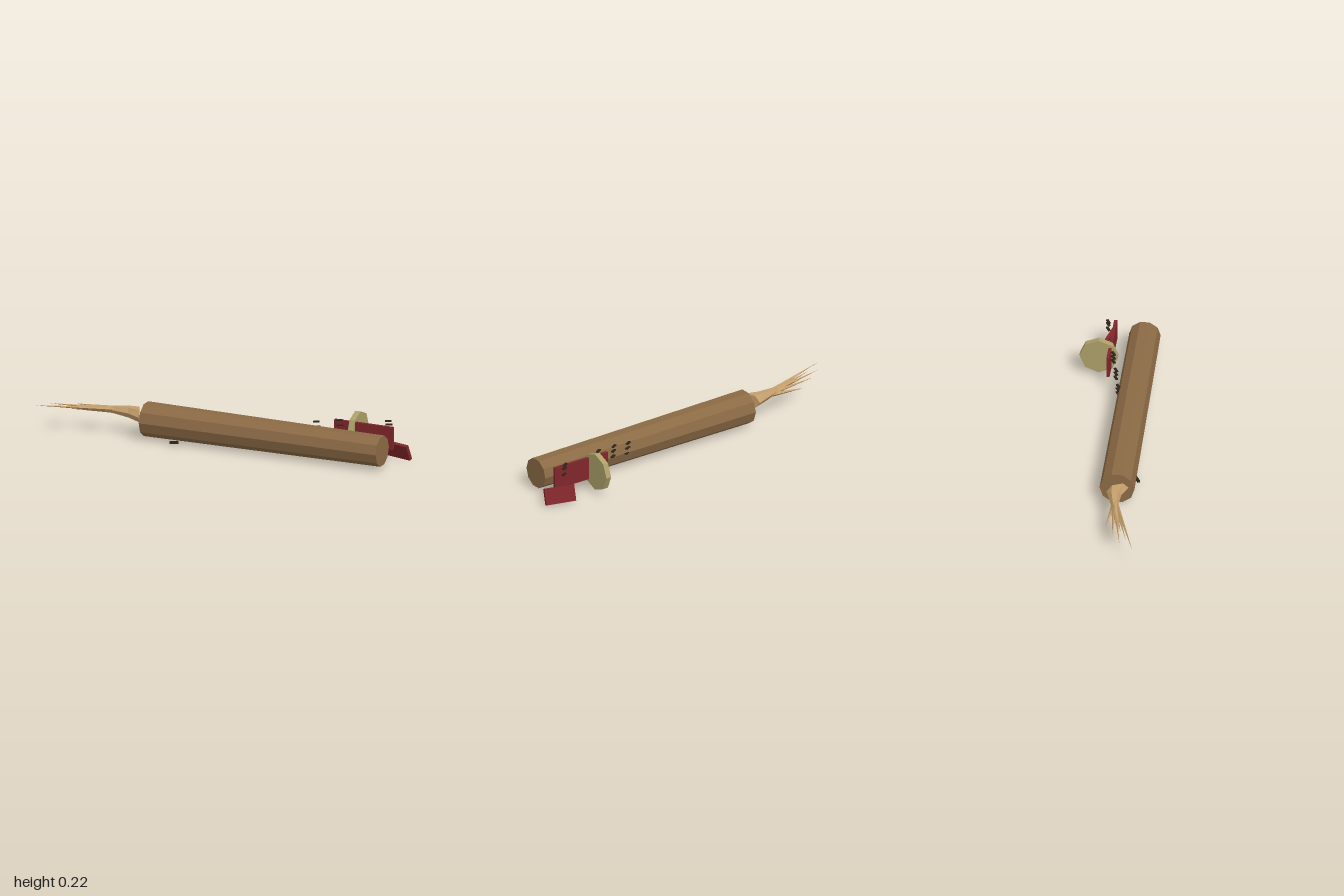
import * as THREE from 'three';

const mat = (color) => new THREE.MeshStandardMaterial({ color, flatShading: true });

// Loft through [x, y, z, ry, rz, shear] sections running towards -x
function loft(sections, sides) {
  const pos = [], idx = [];
  for (const [x, y, z, ry, rz, shear = 0] of sections) {
    for (let i = 0; i < sides; i++) {
      const a = (i / sides) * Math.PI * 2;
      const dz = Math.cos(a) * rz;
      pos.push(x + dz * shear, y + Math.sin(a) * ry, z + dz);
    }
  }
  for (let s = 0; s < sections.length - 1; s++) {
    for (let i = 0; i < sides; i++) {
      const a = s * sides + i, b = s * sides + ((i + 1) % sides);
      idx.push(a, b, a + sides, b, b + sides, a + sides);
    }
  }
  for (let i = 1; i < sides - 1; i++) idx.push(0, i + 1, i);
  const geo = new THREE.BufferGeometry();
  geo.setAttribute('position', new THREE.Float32BufferAttribute(pos, 3));
  geo.setIndex(idx);
  geo.computeVertexNormals();
  return geo;
}

export function createModel() {
  const model = new THREE.Group();
  const wood = mat(0x8b6a45), red = mat(0x7f262b), pale = mat(0xada06a);
  const straw = mat(0xc49e6c), dark = mat(0x2c241a);
  straw.side = THREE.DoubleSide;
  const YAW = -0.211;

  const add = (name, geo, material, p, yaw = 0, tilt = 0, parent = model) => {
    const mesh = new THREE.Mesh(geo, material);
    mesh.name = name;
    mesh.position.set(...p);
    mesh.rotation.set(tilt, yaw, 0, 'YXZ');
    parent.add(mesh);
    return mesh;
  };

  // Tapered ten-sided log and the eight-sided disc beside it
  const logGeo = new THREE.CylinderGeometry(0.081, 0.09, 1.335, 10).rotateZ(-Math.PI / 2);
  add('log', logGeo, wood, [0.228, 0.093, 0.008], YAW);
  const discGeo = new THREE.CylinderGeometry(0.1, 0.1, 0.03, 8).rotateZ(-Math.PI / 2);
  add('disc', discGeo, pale, [0.695, 0.118, -0.108], YAW);

  // Upright plank along the log and a leaning board at its end
  add('plank', new THREE.BoxGeometry(0.333, 0.12, 0.016), red, [0.743, 0.118, -0.037], -0.225);
  add('leaningBoard', new THREE.BoxGeometry(0.164, 0.086, 0.018), red,
    [0.914, 0.043, -0.045], -0.477, 0.37);

  // Straw tail: gathered root with a fan of long spikes
  const tail = new THREE.Group();
  tail.name = 'strawTail';
  model.add(tail);
  add('tailRoot', loft([
    [-0.461, 0.113, -0.133, 0.038, 0.058, 0.18],
    [-0.52, 0.118, -0.153, 0.031, 0.034, 0.1],
    [-0.6, 0.122, -0.162, 0.021, 0.02],
    [-0.8, 0.125, -0.16, 0.001, 0.001],
  ], 6), straw, [0, 0, 0], 0, 0, tail);
  const tips = [
    [-1, 0.13, -0.115], [-0.935, 0.128, -0.173], [-0.9, 0.122, -0.138], [-0.86, 0.12, -0.2],
    [-0.82, 0.112, -0.155], [-0.76, 0.105, -0.226], [-0.8, 0.134, -0.18],
  ];
  tips.forEach(([x, y, z], i) => {
    const z0 = -0.162 + (z + 0.165) * 0.2, y0 = 0.12 + (y - 0.12) * 0.6;
    add('spike' + (i + 1), loft([
      [-0.52, 0.118, -0.153, 0.012, 0.012],
      [-0.61, y0, z0, 0.012, 0.011],
      [x, y, z, 0.0005, 0.0005],
    ], 4), straw, [0, 0, 0], 0, 0, tail);
  });

  // Stacks of small dark chips along the far side
  const chips = new THREE.Group();
  chips.name = 'chips';
  model.add(chips);
  const chipGeo = new THREE.BoxGeometry(0.034, 0.006, 0.013);
  const stacks = [
    [0.385, [0.145, 0.119, 0.092]], [0.495, [0.167, 0.141, 0.112]],
    [0.615, [0.183, 0.156, 0.128]], [0.873, [0.197, 0.178, 0.145]],
  ];
  for (const [x, heights] of stacks) {
    heights.forEach((y, i) => add('chip', chipGeo, dark, [x + (i - 1) * 0.004, y, -0.042], 0.28, 0, chips));
  }
  add('looseChip', new THREE.BoxGeometry(0.045, 0.012, 0.013), dark, [-0.25, 0.014, -0.01], 0.28, 0, chips);

  return model;
}
